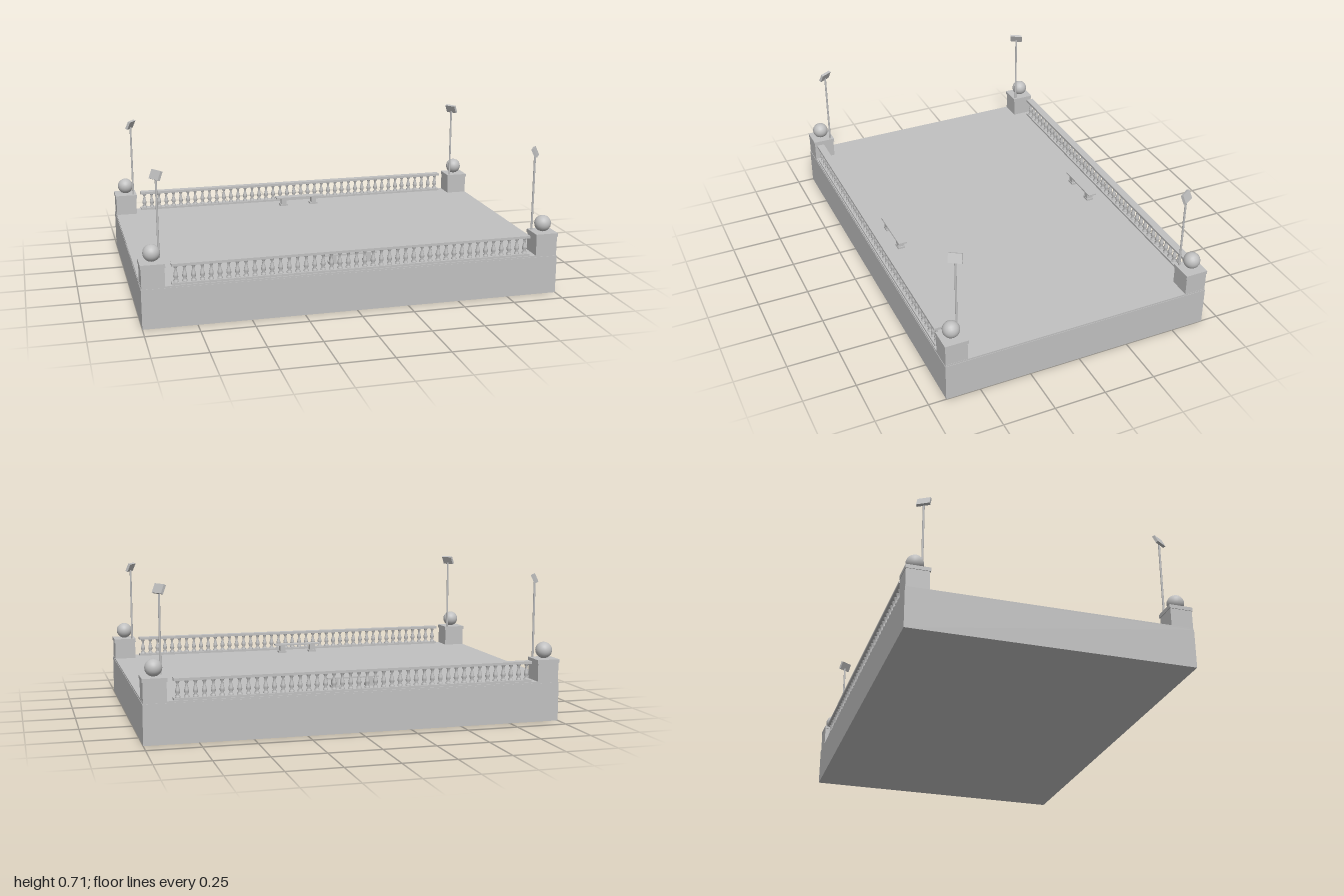
import * as THREE from 'three';

const stone = new THREE.MeshStandardMaterial({ color: 0xc0c0c0 });
stone.name = 'stone grey';

function add(parent, name, geometry, x = 0, y = 0, z = 0) {
  const mesh = new THREE.Mesh(geometry, stone);
  mesh.name = name;
  mesh.position.set(x, y, z);
  parent.add(mesh);
  return mesh;
}

// Box given by its bottom height
function block(parent, name, w, h, d, x, bottom, z) {
  return add(parent, name, new THREE.BoxGeometry(w, h, d), x, bottom + h / 2, z);
}

const FLOOR = 0.195;

// Turned baluster outline: foot, belly, slim neck, collar
const balusterGeometry = new THREE.LatheGeometry([
  [0.012, 0], [0.012, 0.008], [0.006, 0.014], [0.0115, 0.026], [0.0105, 0.036],
  [0.006, 0.052], [0.005, 0.064], [0.009, 0.072], [0.011, 0.08],
].map(([r, y]) => new THREE.Vector2(r, y)), 10);

function balustrade(side) {
  const group = new THREE.Group();
  group.name = side > 0 ? 'frontBalustrade' : 'backBalustrade';
  const z = side * 0.64;
  block(group, 'bottomRail', 1.72, 0.01, 0.036, 0, FLOOR, z);
  block(group, 'topRail', 1.72, 0.012, 0.038, 0, 0.283, z);
  const count = 43;
  for (let i = 0; i < count; i++) {
    add(group, 'baluster', balusterGeometry, -0.84 + (1.68 * i) / (count - 1), 0.204, z);
  }
  return group;
}

function bench(side) {
  const group = new THREE.Group();
  group.name = side > 0 ? 'frontBench' : 'backBench';
  const z = side * 0.53;
  block(group, 'seat', 0.254, 0.007, 0.044, 0, 0.236, z);
  for (const x of [-0.085, 0.085]) {
    block(group, 'legFoot', 0.042, 0.01, 0.036, x, FLOOR, z);
    block(group, 'leg', 0.028, 0.032, 0.032, x, 0.204, z);
  }
  return group;
}

function corner(sx, sz) {
  const group = new THREE.Group();
  group.name = (sz > 0 ? 'front' : 'back') + (sx > 0 ? 'Left' : 'Right') + 'Corner';

  // Pedestal with a slightly wider cap and a ball
  block(group, 'pedestal', 0.106, 0.09, 0.106, sx * 0.944, FLOOR, sz * 0.61);
  block(group, 'pedestalCap', 0.112, 0.018, 0.112, sx * 0.944, 0.282, sz * 0.609);
  const ball = add(group, 'ball', new THREE.SphereGeometry(0.04, 20, 14), sx * 0.942, 0.34, sz * 0.612);
  ball.rotation.x = Math.PI / 2;

  // Lamp post with a flat head tilted down towards the middle of the court
  const px = sx * 0.905, pz = sz * 0.57;
  add(group, 'lampPost', new THREE.CylinderGeometry(0.005, 0.005, 0.38, 10), px, 0.48, pz);
  const head = add(group, 'lampHead', new THREE.BoxGeometry(0.063, 0.044, 0.013), px, 0.684, pz);
  head.rotation.order = 'YXZ';
  head.rotation.set(0.43, Math.atan2(-px, -pz), 0);
  return group;
}

export function createModel() {
  const model = new THREE.Group();
  model.name = 'terrace';

  block(model, 'base', 2, 0.187, 1.33, 0, 0, 0);
  block(model, 'deck', 1.996, FLOOR - 0.187, 1.326, 0, 0.187, 0);

  for (const sz of [1, -1]) {
    model.add(balustrade(sz), bench(sz));
    for (const sx of [1, -1]) model.add(corner(sx, sz));
  }
  return model;
}
